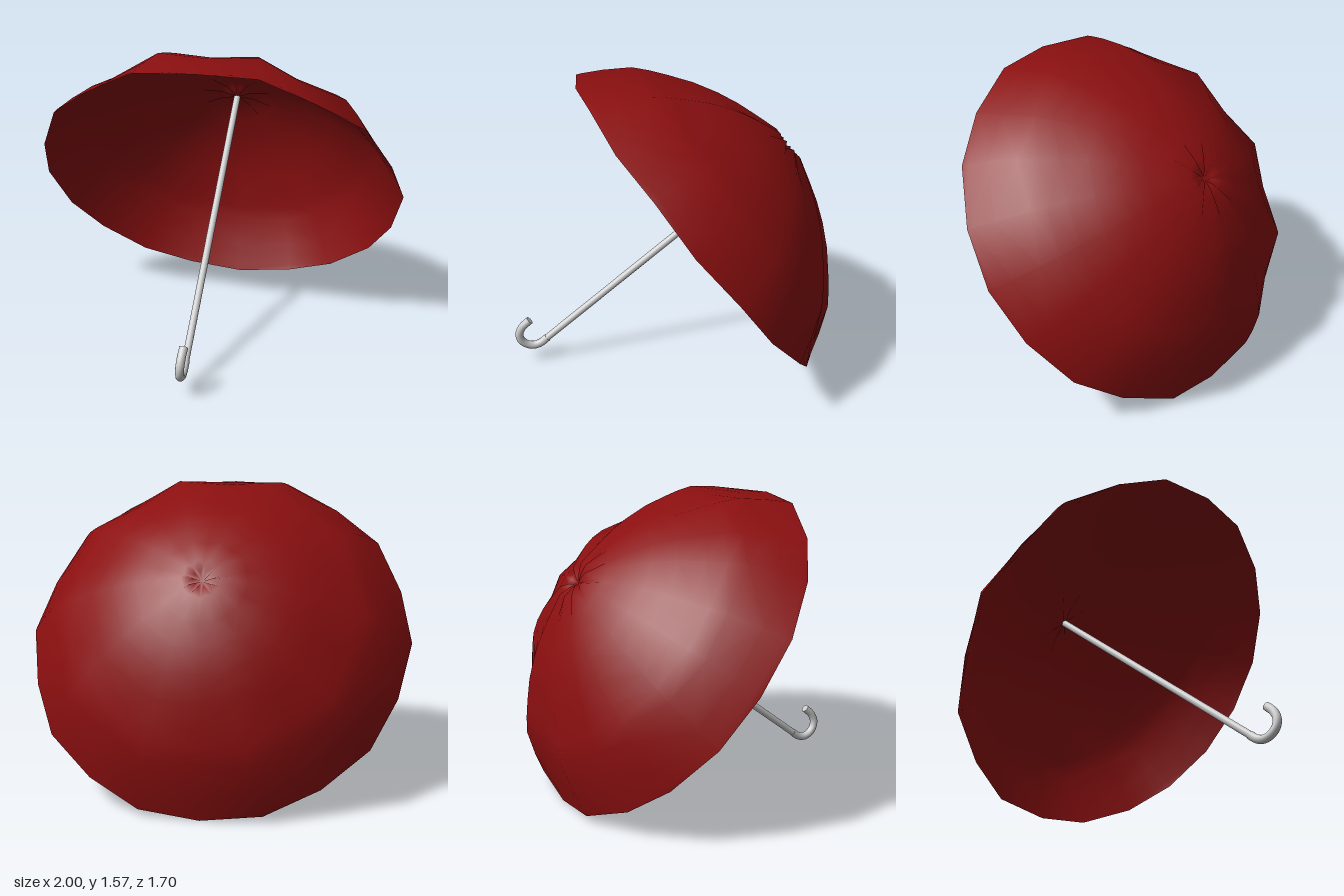
import * as THREE from 'three';

const RIBS = 10;

// Canopy rings as [radius, height]: puffed panel centre and the tighter rib line
const PANEL = [[0.04, 0.627], [0.1, 0.643], [0.22, 0.607], [0.34, 0.568], [0.453, 0.52],
  [0.575, 0.454], [0.685, 0.378], [0.77, 0.315], [0.843, 0.252], [0.93, 0.125], [0.985, 0.03], [1, 0]];
const RIB = [[0.04, 0.607], [0.095, 0.612], [0.21, 0.59], [0.325, 0.553], [0.435, 0.504],
  [0.55, 0.434], [0.65, 0.356], [0.73, 0.297], [0.79, 0.24], [0.9, 0.1], [0.968, 0.005], [0.986, -0.015]];
const APEX = 0.605;

function canopyGeometry() {
  const n = RIBS * 2;
  const pos = [0, APEX, 0];
  const index = [];
  PANEL.forEach((_, k) => {
    for (let i = 0; i < n; i++) {
      const [r, h] = (i % 2 ? PANEL : RIB)[k];
      const a = (i / n) * Math.PI * 2;
      pos.push(r * Math.sin(a), h, r * Math.cos(a));
    }
  });
  for (let i = 0; i < n; i++) {
    const j = (i + 1) % n;
    index.push(0, 1 + i, 1 + j);
    for (let k = 0; k < PANEL.length - 1; k++) {
      const a = 1 + k * n + i, b = 1 + k * n + j;
      // diagonals mirror about each rib
      if (i % 2) index.push(a, a + n, b + n, a, b + n, b);
      else index.push(a, a + n, b, b, a + n, b + n);
    }
  }
  const g = new THREE.BufferGeometry();
  g.setAttribute('position', new THREE.Float32BufferAttribute(pos, 3));
  g.setIndex(index);
  g.computeVertexNormals();
  return g;
}

export function createModel() {
  const root = new THREE.Group();
  root.name = 'umbrella';
  const red = new THREE.MeshStandardMaterial({ color: 0x8b0f10, side: THREE.DoubleSide });
  const grey = new THREE.MeshStandardMaterial({ color: 0xcccccc });
  const add = (parent, name, geometry, material) => {
    const mesh = new THREE.Mesh(geometry, material);
    mesh.name = name;
    parent.add(mesh);
    return mesh;
  };

  // Canopy and shaft lean back around the rim centre
  const leaning = new THREE.Group();
  leaning.name = 'leaningBody';
  leaning.position.set(0, 0.787, -0.15);
  leaning.rotation.x = -0.905;
  root.add(leaning);

  add(leaning, 'canopy', canopyGeometry(), red);

  const top = APEX - 0.005, bottom = -1.08;
  add(leaning, 'shaft', new THREE.CylinderGeometry(0.019, 0.019, top - bottom, 16), grey)
    .position.y = (top + bottom) / 2;

  // Hooked handle, turned slightly to one side
  const path = new THREE.CatmullRomCurve3([
    [0, 0.135, 0.68], [0, 0.107, 0.717], [0, 0.096, 0.755], [0.002, 0.108, 0.795],
    [0.006, 0.14, 0.825], [0.009, 0.18, 0.832], [0.012, 0.222, 0.814], [0.015, 0.262, 0.772],
  ].map((p) => new THREE.Vector3(...p)), false, 'centripetal');
  const radius = 0.022;
  add(root, 'handleHook', new THREE.TubeGeometry(path, 28, radius, 14), grey);

  // Flat caps on both ends of the hook
  for (const [t, sign] of [[0, -1], [1, 1]]) {
    const cap = add(root, 'handleCap', new THREE.CircleGeometry(radius, 14), grey);
    const dir = path.getTangentAt(t).multiplyScalar(sign);
    cap.position.copy(path.getPointAt(t));
    cap.quaternion.setFromUnitVectors(new THREE.Vector3(0, 0, 1), dir);
  }
  return root;
}
